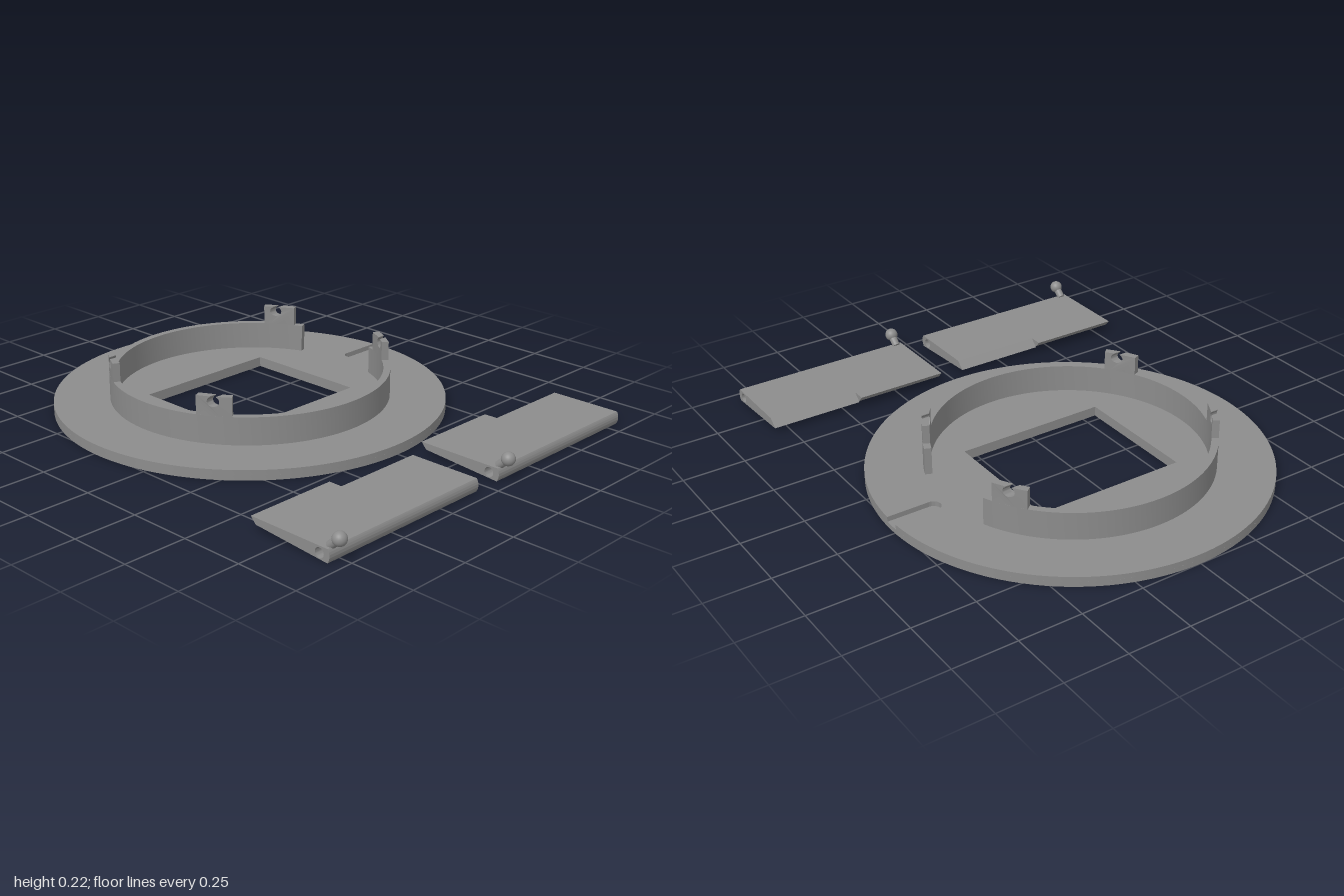
import * as THREE from 'three';
import { toCreasedNormals } from 'three/addons/utils/BufferGeometryUtils.js';

const CX = -0.2275;             // centre of the round base
const R = 0.7725, RO = 0.5525, RI = 0.525;
const grey = new THREE.MeshStandardMaterial({ color: 0x8c8c8c });
grey.name = 'plain grey';

function part(name, geometry, parent) {
  const mesh = new THREE.Mesh(geometry, grey);
  mesh.name = name;
  parent.add(mesh);
  return mesh;
}

const extrude = (shape, depth, curveSegments = 64) =>
  new THREE.ExtrudeGeometry(shape, { depth, bevelEnabled: false, curveSegments });

// Flat plan shape (shape +y is the back) raised from y0 to y1
function slab(shape, y0, y1) {
  const g = extrude(shape, y1 - y0).rotateX(-Math.PI / 2).translate(0, y0, 0);
  return toCreasedNormals(g, 0.4);
}

// Rectangular hole, turned about the origin
function rectHole(cx, halfX, halfY, angle) {
  const corners = [[-1, -1], [-1, 1], [1, 1], [1, -1]].map(([a, b]) =>
    new THREE.Vector2(cx + a * halfX, b * halfY).rotateAround(new THREE.Vector2(), angle));
  return new THREE.Path(corners);
}

function buildBase(parent) {
  // Lower layer: window and three shallow pockets underneath
  const lower = new THREE.Shape().absarc(0, 0, R, 0, Math.PI * 2, false);
  lower.holes.push(rectHole(0, 0.2575, 0.3075, 0));
  for (const deg of [30, 150, 270]) lower.holes.push(rectHole(0.705, 0.02, 0.06, THREE.MathUtils.degToRad(deg)));
  part('baseLower', slab(lower, 0, 0.02), parent);

  // Upper layer: window and the blind round-ended slot at the back
  const w = 0.03, d = Math.asin(w / R), q = Math.PI / 2;
  const upper = new THREE.Shape().absarc(0, 0, R, q + d, q - d + Math.PI * 2, false);
  upper.lineTo(w, 0.6);
  upper.absarc(0, 0.6, w, 0, Math.PI, true);
  upper.holes.push(rectHole(0, 0.2575, 0.3075, 0));
  part('baseUpper', slab(upper, 0.02, 0.04), parent);
}

// Upright wall, open at the back
function buildRing(parent) {
  const gap = THREE.MathUtils.degToRad(21.2);
  const a = Math.PI / 2 + gap, b = Math.PI / 2 - gap + Math.PI * 2;
  const ring = new THREE.Shape().absarc(0, 0, RO, a, b, false);
  ring.absarc(0, 0, RI, b, a, true);
  part('ringWall', slab(ring, 0.04, 0.15), parent);
}

// Clip tab with an open pin hole, wrapped onto the ring wall
function tabGeometry(side) {
  const c = side * 0.292, h = 0.0575, n = 0.01, y0 = 0.15, y1 = 0.225;
  const s = new THREE.Shape();
  s.moveTo(c - h, y0);
  s.lineTo(c - 0.02, y0);
  s.lineTo(c + 0.02, y0);
  s.lineTo(c + h, y0);
  s.lineTo(c + h, y1);
  s.lineTo(c + n, y1);
  s.absarc(c, 0.205, 0.02, Math.PI / 3, Math.PI * 2 / 3, true);
  s.lineTo(c - n, y1);
  s.lineTo(c - h, y1);
  const g = extrude(s, 1, 12);
  const p = g.attributes.position;
  for (let i = 0; i < p.count; i++) {
    const r = p.getZ(i) > 0.5 ? RO : RI;
    let x = p.getX(i);
    if (Math.abs(x - c) > 0.05) x *= r / RO;   // radial ends
    p.setX(i, x);
    p.setZ(i, Math.sqrt(r * r - x * x));
  }
  g.computeVertexNormals();
  return toCreasedNormals(g, 0.5);
}

// Flap outline: rounded hinge edge on the right, lip or bevel on the left
function flapShape(lip) {
  const s = new THREE.Shape();
  const a = Math.asin(0.025 / 0.043);
  s.moveTo(0.627, 0);
  s.absarc(0.912, 0.025, 0.043, -a, a, false);
  s.lineTo(lip ? 0.605 : 0.66, 0.05);
  s.lineTo(0.627, lip ? 0.025 : 0.02);
  s.holes.push(new THREE.Path().absarc(0.912, 0.025, 0.019, 0, Math.PI * 2, true));
  return s;
}

function buildFlap(name, z, parent) {
  const flap = new THREE.Group();
  flap.name = name;
  flap.position.z = z;
  parent.add(flap);
  const half = 0.375;
  part('bevelledHalf', toCreasedNormals(extrude(flapShape(false), half, 12), 0.5), flap).position.z = -half;
  part('lippedHalf', toCreasedNormals(extrude(flapShape(true), half, 12), 0.5), flap);

  // Lever arm and ball at the front end of the hinge
  const from = new THREE.Vector3(0.932, 0.049, 0.347), to = new THREE.Vector3(0.972, 0.085, 0.347);
  const dir = to.clone().sub(from);
  const arm = part('leverArm', new THREE.CylinderGeometry(0.016, 0.016, dir.length(), 20), flap);
  arm.position.copy(from).add(to).multiplyScalar(0.5);
  arm.quaternion.setFromUnitVectors(new THREE.Vector3(0, 1, 0), dir.normalize());
  part('leverBall', new THREE.SphereGeometry(0.026, 24, 16), flap).position.copy(to);
}

export function createModel() {
  const model = new THREE.Group();
  model.name = 'ringBaseWithFlaps';

  const base = new THREE.Group();
  base.name = 'base';
  base.position.x = CX;
  model.add(base);
  buildBase(base);
  buildRing(base);
  for (const side of [-1, 1]) {
    for (const turn of [0, Math.PI]) {
      part('clipTab', tabGeometry(side), base).rotation.y = turn;
    }
  }

  buildFlap('backFlap', -0.435, model);
  buildFlap('frontFlap', 0.43, model);
  return model;
}
